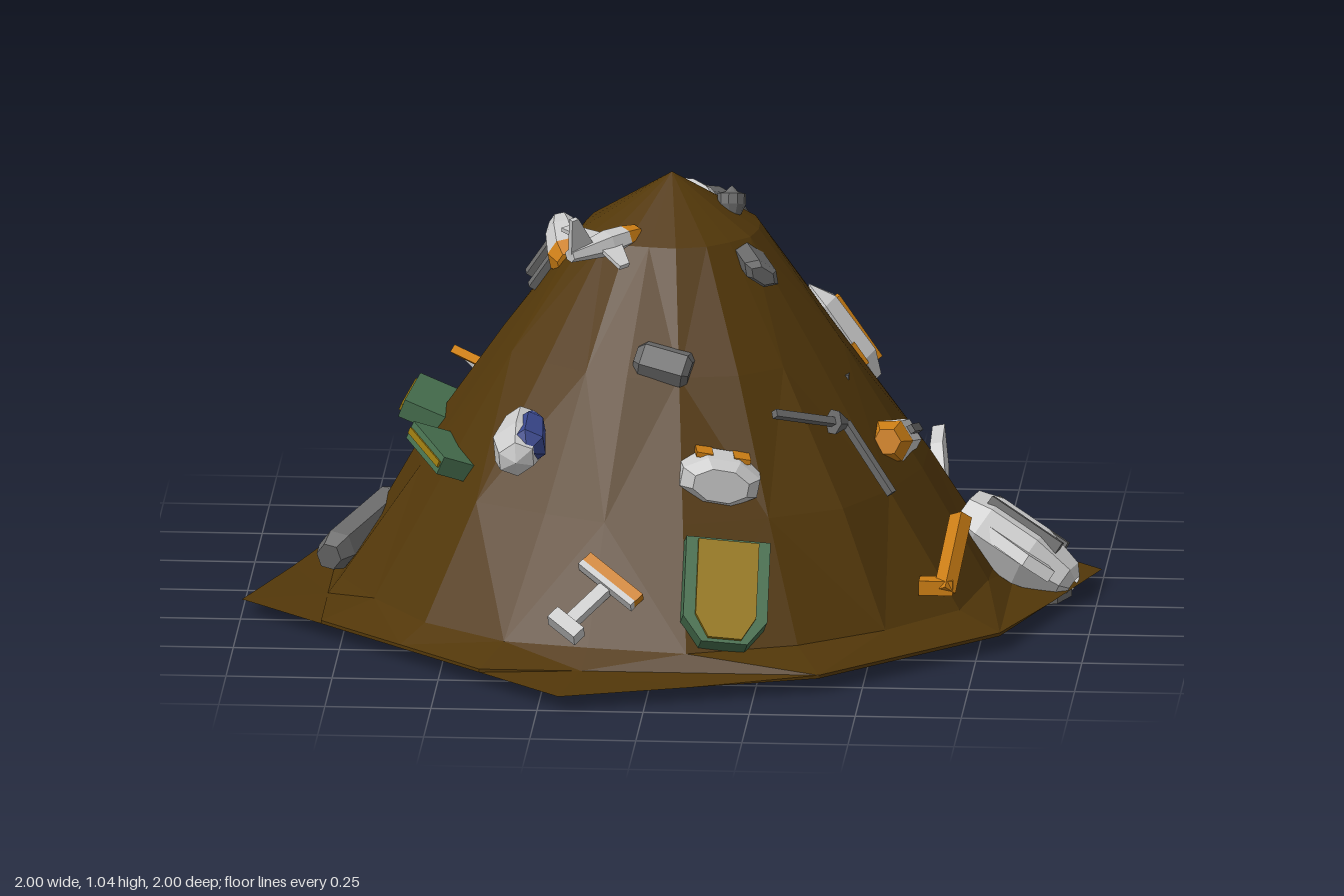
import * as THREE from 'three';

const GREY = 0xcccccc, DARK = 0x6a6a6a, ORANGE = 0xcc7e14, GREEN = 0x47704f;
const YELLOW = 0x96770f, BLUE = 0x39478c, EARTH = 0x523709;

function part(geo, color, name, x = 0, y = 0, z = 0) {
  const g = geo.index ? geo.toNonIndexed() : geo;
  g.computeVertexNormals();
  const mesh = new THREE.Mesh(g, new THREE.MeshStandardMaterial({ color, flatShading: true, side: THREE.DoubleSide }));
  mesh.name = name;
  mesh.position.set(x, y, z);
  return mesh;
}

const box = (name, color, w, h, d, x, y, z) => part(new THREE.BoxGeometry(w, h, d), color, name, x, y, z);

// faceted body along z from [z, radius] pairs, squashed in x and y
function body(name, color, profile, sx = 1, sy = 1, sides = 8, x = 0, y = 0) {
  const geo = new THREE.LatheGeometry(profile.map(([z, r]) => new THREE.Vector2(r, z)), sides, Math.PI / sides);
  return part(geo.rotateX(Math.PI / 2).scale(sx, sy, 1), color, name, x, y);
}

function extrude(outline, t) {
  return new THREE.ExtrudeGeometry(new THREE.Shape(outline.map(p => new THREE.Vector2(...p))), { depth: t, bevelEnabled: false });
}

// flat plate with its outline in x and z
const plate = (name, color, outline, t, y = 0) =>
  part(extrude(outline, t).rotateX(Math.PI / 2).translate(0, t / 2, 0), color, name, 0, y, 0);

// upright fin with its outline in z and y
const fin = (name, color, outline, t) =>
  part(extrude(outline, t).rotateY(-Math.PI / 2).translate(t / 2, 0, 0), color, name);

// group whose z runs from a to b and whose y leans out of the slope
function item(name, a, b, ...parts) {
  const A = new THREE.Vector3(...a), B = new THREE.Vector3(...b);
  const mid = A.clone().add(B).multiplyScalar(0.5);
  const z = B.clone().sub(A).normalize();
  const out = new THREE.Vector3(mid.x, 0.68 * Math.hypot(mid.x, mid.z), mid.z);
  const x = out.cross(z).normalize();
  const g = new THREE.Group();
  g.name = name;
  g.quaternion.setFromRotationMatrix(new THREE.Matrix4().makeBasis(x, z.clone().cross(x), z));
  g.position.copy(mid);
  g.add(...parts);
  return g;
}

// hollow mound: round rings from the peak, flaring to a square foot with pointed skirt tips
function mound() {
  const half = [[0.2, -1], [0.4, -0.8], [0.6, -0.6], [0.8, -0.4], [1, -0.2], [0.9, 0.1], [0.8, 0.4], [0.6, 0.6], [0.4, 0.8], [0.1, 0.9]];
  const rim = [...half, ...half.map(([x, z]) => [-x, -z])];
  const rings = [[0.21, 0.9], [0.4, 0.635], [0.6, 0.335], [0.77, 0.07]];
  const n = rim.length, pos = [0, 1.03, 0], idx = [];
  rings.forEach(([r, y], k) => rim.forEach(([x, z], i) => {
    const a = Math.atan2(z, x), rr = r * (1 + 0.02 * Math.sin(i * 2.4 + k * 1.9));
    pos.push(Math.cos(a) * rr, y, Math.sin(a) * rr);
  }));
  rim.forEach(([x, z]) => {
    const s = Math.min(1, 0.8 / Math.max(Math.abs(x), Math.abs(z)));
    pos.push(x * s, 0.03, z * s);
  });
  rim.forEach(([x, z]) => pos.push(x, 0.022, z));
  for (let i = 0; i < n; i++) {
    const j = (i + 1) % n;
    idx.push(0, 1 + j, 1 + i);
    for (let k = 0; k <= rings.length; k++) {
      const a = 1 + k * n + i, b = 1 + k * n + j, c = a + n, d = b + n;
      if ((i + k) % 2) idx.push(a, b, c, b, d, c); else idx.push(a, b, d, a, d, c);
    }
  }
  const geo = new THREE.BufferGeometry();
  geo.setAttribute('position', new THREE.Float32BufferAttribute(pos, 3));
  geo.setIndex(idx);
  return part(geo, EARTH, 'mound');
}

// dark faceted scrap block
function block(name, a, b, w, h) {
  const l = new THREE.Vector3(...a).distanceTo(new THREE.Vector3(...b)) / 2;
  return item(name, a, b, body('block', DARK, [[-l, 0], [-l, 0.35], [-l * 0.75, 0.52], [l * 0.8, 0.52], [l, 0.35], [l, 0]], w, h, 6));
}

// joined bars, as in a broken strut
function strut(name, a, b, w) {
  return item(name, a, b, box('bar', GREY, 0.03, 0.03, 0.17, 0, 0.01, 0),
    box('crossbar', ORANGE, w, 0.025, 0.03, 0, 0.02, 0.08), box('crossbarEdge', GREY, w, 0.03, 0.015, 0, 0.02, 0.06),
    box('foot', GREY, w * 0.5, 0.04, 0.035, 0, 0.01, -0.08));
}

export function createModel() {
  const model = new THREE.Group();
  model.name = 'scrapHeap';
  model.add(mound());

  // large buried craft, nose at the front and tail tip at the back
  model.add(item('buriedCraft', [-0.53, 0.45, -0.44], [0.15, 0.42, 0.5],
    body('hull', GREY, [[-0.585, 0], [-0.4, 0.045], [-0.2, 0.05], [0.05, 0.08], [0.4, 0.09], [0.52, 0.07]], 0.85, 0.85),
    box('tailStripe', ORANGE, 0.02, 0.02, 0.2, 0, 0.04, -0.45)));
  model.add(item('buriedNose', [0.13, 0.43, 0.4], [0.155, 0.42, 0.57],
    body('nose', GREY, [[-0.08, 0.06], [-0.02, 0.105], [0.05, 0.1], [0.08, 0.07], [0.08, 0]], 1, 0.6),
    ...[-1, 1].map(s => box('noseStripe', ORANGE, 0.04, 0.012, 0.06, s * 0.045, 0.053, 0))));

  // engine drum near the peak
  model.add(item('engineDrum', [0.02, 0.9, -0.08], [0.08, 0.81, -0.28],
    body('drum', DARK, [[-0.1, 0], [-0.1, 0.08], [0.06, 0.1], [0.115, 0.095]], 1, 1, 16),
    body('endCap', GREY, [[0.115, 0.095], [0.12, 0]], 1, 1, 16),
    body('collar', GREY, [[-0.12, 0], [-0.12, 0.09], [-0.08, 0.09], [-0.08, 0]], 1, 1, 16),
    box('bracket', GREY, 0.04, 0.05, 0.05, 0.03, -0.1, 0.1)));

  // round hatch with an arm
  const ring = new THREE.LatheGeometry([[0.06, -0.03], [0.1, -0.03], [0.1, 0.02], [0.08, 0.035], [0.055, 0.035], [0.055, 0.01]].map(p => new THREE.Vector2(...p)), 16);
  model.add(item('hatch', [0.155, 0.42, -0.57], [0.165, 0.56, -0.44],
    part(ring, GREY, 'hatchRing'), part(new THREE.CylinderGeometry(0.06, 0.06, 0.02, 16), DARK, 'hatchCover', 0, 0.012, 0),
    part(new THREE.CylinderGeometry(0.104, 0.08, 0.05, 16), ORANGE, 'hatchBase', 0, -0.035, 0),
    box('hatchArm', GREY, 0.04, 0.03, 0.13, 0, -0.01, 0.15)));

  // small turret
  model.add(item('turret', [0.14, 0.93, 0], [0.14, 0.99, -0.02],
    body('turretBody', DARK, [[-0.04, 0.02], [-0.01, 0.034], [0.015, 0.034], [0.02, 0.015], [0.035, 0]], 1, 1, 10)));

  // small craft
  model.add(item('topCraft', [-0.22, 0.9, 0.29], [-0.06, 0.92, 0.13],
    body('fuselage', GREY, [[-0.115, 0], [-0.115, 0.017], [0, 0.034], [0.055, 0.03]], 1, 0.9, 6),
    body('nose', ORANGE, [[0.055, 0.03], [0.095, 0.022], [0.115, 0]], 1, 0.9, 6),
    plate('wings', GREY, [[-0.105, -0.05], [0, -0.03], [0.105, -0.05], [0.105, -0.02], [0, 0.04], [-0.105, -0.02]], 0.01),
    fin('tailFin', GREY, [[-0.125, 0.1], [-0.105, 0.1], [-0.05, 0.02], [-0.115, 0]], 0.012)));
  model.add(item('leftCraft', [-0.27, 0.86, -0.14], [-0.235, 0.82, 0.08],
    body('hull', GREY, [[-0.11, 0], [-0.11, 0.03], [-0.04, 0.045], [0.07, 0.05]], 1, 1, 8),
    body('nose', ORANGE, [[0.07, 0.05], [0.11, 0.03], [0.11, 0]], 1, 1, 8),
    ...[-0.03, 0.04].map(z => box('leftSpar', DARK, 0.1, 0.02, 0.025, -0.07, 0.02, z))));
  model.add(item('slopeCraft', [0.31, 0.73, -0.13], [0.47, 0.49, -0.15],
    body('hull', GREY, [[-0.14, 0], [-0.08, 0.04], [0.08, 0.045], [0.14, 0.02], [0.14, 0]], 1, 1, 6),
    box('stripe', ORANGE, 0.03, 0.02, 0.18, 0.018, 0.035, 0.02), box('sideFin', ORANGE, 0.1, 0.012, 0.06, 0, 0, 0.06)));
  model.add(item('sideCraft', [0.54, 0.36, -0.1], [0.52, 0.43, 0.18],
    body('hull', GREY, [[-0.15, 0], [-0.15, 0.035], [-0.05, 0.05], [0.1, 0.05]], 1.1, 1.1, 6),
    body('nose', ORANGE, [[0.1, 0.05], [0.15, 0.03], [0.15, 0]], 1.1, 1.1, 6), box('spine', DARK, 0.02, 0.02, 0.14, 0, 0.05, 0)));
  model.add(item('blueCraft', [-0.33, 0.52, 0.3], [-0.33, 0.47, 0.55],
    body('hull', GREY, [[-0.14, 0], [-0.08, 0.045], [0.05, 0.072], [0.12, 0.05], [0.14, 0]], 0.95, 0.85, 6),
    body('canopy', BLUE, [[-0.1, 0], [-0.02, 0.045], [0.09, 0.055], [0.125, 0]], 0.8, 0.85, 6, 0.032, 0)));
  model.add(item('gunCraft', [-0.2, 0.66, -0.32], [-0.27, 0.55, -0.42],
    body('hull', GREEN, [[-0.065, 0], [-0.065, 0.04], [0, 0.055], [0.045, 0.04], [0.045, 0]], 1, 0.9, 6),
    box('cabin', YELLOW, 0.055, 0.04, 0.06, 0, 0.035, -0.01), box('band', ORANGE, 0.1, 0.03, 0.025, 0, 0.015, 0.02),
    ...[-1, 1].map(s => box('gun', DARK, 0.02, 0.02, 0.1, s * 0.022, 0.01, 0.08))));

  // dark blocks
  model.add(block('topBlock', [0.18, 0.86, 0.08], [0.23, 0.84, 0.22], 0.1, 0.055));
  model.add(block('frontBlock', [-0.06, 0.67, 0.35], [0.07, 0.64, 0.37], 0.1, 0.1));
  model.add(block('leftBlock', [-0.8, 0.11, 0.13], [-0.66, 0.18, -0.13], 0.11, 0.09));
  model.add(block('rearBlock', [-0.08, 0.27, -0.64], [-0.04, 0.1, -0.79], 0.1, 0.09));
  model.add(box('scrapBit', DARK, 0.03, 0.05, 0.05, 0.41, 0.55, 0.1));

  // green armour slabs on the left, turned to jut out of the slope
  for (const [a, b] of [[[-0.55, 0.42, 0.16], [-0.46, 0.38, 0.35]], [[-0.55, 0.43, -0.16], [-0.57, 0.42, 0.01]]]) {
    const slab = item('greenSlab', a, b, box('slab', GREEN, 0.14, 0.045, 0.2, 0, 0, 0),
      box('edge', YELLOW, 0.15, 0.015, 0.19, 0, 0, 0));
    slab.rotateZ(-1.35);
    model.add(slab);
  }

  // large green and yellow panel at the front
  const panel = [[-0.1, -0.12], [0.1, -0.12], [0.1, 0.08], [0.055, 0.14], [-0.055, 0.14], [-0.1, 0.08]];
  model.add(item('frontPanel', [0.17, 0.29, 0.61], [0.17, 0.1, 0.75], plate('panel', GREEN, panel, 0.07),
    plate('panelFace', YELLOW, panel.map(([x, z]) => [x * 0.72, z * 0.94]), 0.04, 0.025)));

  // ribbed shell lying on the skirt
  const shell = [[-0.14, 0], [-0.14, 0.09], [-0.08, 0.115], [0.05, 0.115], [0.15, 0.075], [0.17, 0.04]];
  model.add(item('ribbedShell', [0.7, 0.17, -0.1], [0.9, 0.05, -0.05],
    body('shell', GREY, shell, 0.95, 0.7, 7),
    ...[-1, 1].map(s => box('rib', DARK, 0.03, 0.04, 0.2, s * 0.045, 0.055, 0)),
    ...[-1, 1].map(s => plate('flap', GREY, [[s * 0.09, -0.08], [s * 0.14, 0.06], [s * 0.12, 0.13], [s * 0.07, 0.1]], 0.03))));
  model.add(part(new THREE.CylinderGeometry(0.1, 0.1, 0.02, 8), DARK, 'shellFoot', 0.84, 0.01, -0.04));

  // pale fins
  const sliver = [[0, -0.12], [0.04, -0.05], [0.045, 0.03], [0, 0.12], [-0.02, 0]];
  model.add(item('rearFin', [-0.5, 0.16, -0.5], [-0.34, 0.17, -0.65], plate('fin', GREY, sliver, 0.035)));
  model.add(item('sideFin', [0.62, 0.17, -0.28], [0.6, 0.3, -0.42], plate('fin', GREY, sliver.map(([x, z]) => [x, z * 0.85]), 0.03)));

  // bent rod with a pointed elbow
  model.add(item('rod', [0.27, 0.56, 0.42], [0.43, 0.5, 0.28], box('shaft', DARK, 0.018, 0.018, 0.22, 0, 0, 0),
    body('tip', DARK, [[0.07, 0], [0.07, 0.032], [0.13, 0]], 1, 1, 6)));
  model.add(item('rodArm', [0.43, 0.5, 0.28], [0.54, 0.35, 0.34], box('arm', DARK, 0.018, 0.018, 0.2, 0, 0, 0)));

  // orange bracket and broken struts
  model.add(item('orangeBracket', [0.7, 0.28, 0.28], [0.67, 0.13, 0.41], box('bar', ORANGE, 0.035, 0.04, 0.2, 0, 0, 0)));
  model.add(box('bracketLip', ORANGE, 0.08, 0.035, 0.045, 0.65, 0.14, 0.395));
  model.add(strut('frontStrut', [-0.2, 0.12, 0.76], [-0.09, 0.21, 0.67], 0.17));
  model.add(strut('rearStrut', [0.39, 0.2, -0.5], [0.48, 0.27, -0.56], 0.14));
  return model;
}
